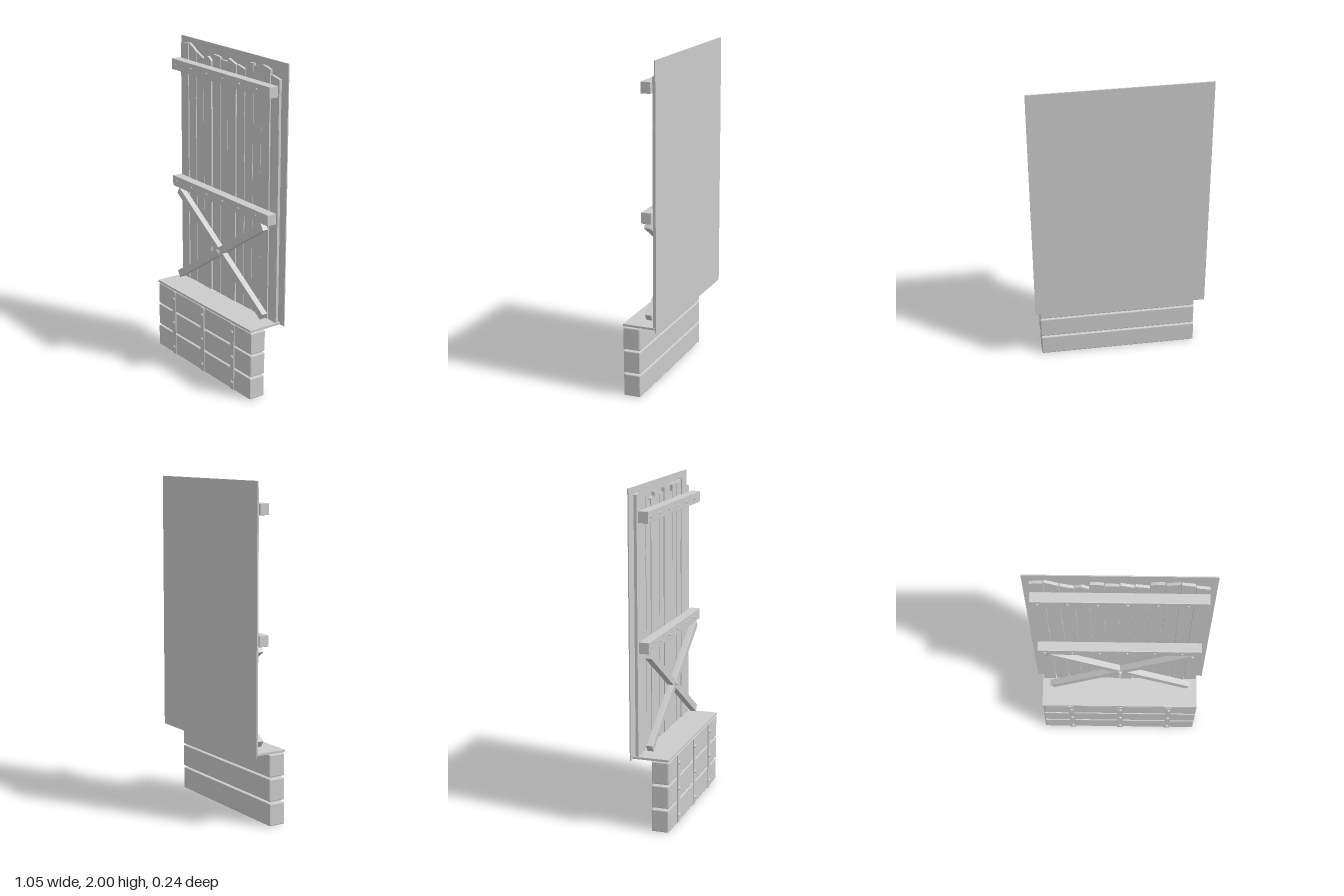
import * as THREE from 'three';
import { RoundedBoxGeometry } from 'three/addons/geometries/RoundedBoxGeometry.js';

const material = new THREE.MeshStandardMaterial({ color: 0xcccccc, flatShading: true });

export function createModel() {
  const model = new THREE.Group();
  model.name = 'woodenGate';

  const add = (name, geometry, x, y, z) => {
    const mesh = new THREE.Mesh(geometry, material);
    mesh.name = name;
    mesh.position.set(x, y, z);
    model.add(mesh);
    return mesh;
  };
  const box = (name, w, h, d, x, y, z) => add(name, new THREE.BoxGeometry(w, h, d), x, y, z);
  const beam = (name, w, h, d, x, y, z, r = 0.004) =>
    add(name, new RoundedBoxGeometry(w, h, d, 1, r), x, y, z);

  // Domed bolt head facing the front, with its base at z
  const bolt = (name, r, depth, x, y, z) => {
    const dome = new THREE.SphereGeometry(r, 8, 3, 0, Math.PI * 2, 0, Math.PI / 2);
    dome.rotateX(Math.PI / 2).scale(1, 1, depth / r);
    add(name, dome, x, y, z);
  };

  // Thin back panel and ledge
  box('backPanel', 1.055, 1.565, 0.006, -0.002, 1.2175, -0.115);
  box('ledge', 0.985, 0.013, 0.222, -0.002, 0.443, -0.005);

  // Upright planks: top height at left, middle and right, then front depth
  const planks = [
    [1.962, 1.97, 1.973, -0.080], [1.974, 1.955, 1.932, -0.083],
    [1.932, 1.915, 1.902, -0.083], [1.912, 1.926, 1.902, -0.080],
    [1.942, 1.943, 1.937, -0.087], [1.925, 1.926, 1.925, -0.086],
    [1.948, 1.935, 1.922, -0.082], [1.925, 1.917, 1.908, -0.086],
    [1.947, 1.956, 1.958, -0.086], [1.945, 1.954, 1.962, -0.084],
    [1.966, 1.96, 1.95, -0.080], [1.922, 1.914, 1.906, -0.083],
  ];
  planks.forEach(([left, middle, right, front], i) => {
    const w = 0.038, wear = 0.003, split = 1.25 + 0.12 * ((i * 5) % 4);
    const outline = new THREE.Shape([
      [-w, 0.445], [w, 0.445], [w, split], [w - wear, split + 0.04],
      [w - wear, split + 0.2], [w, split + 0.24], [w, right], [0, middle], [-w, left],
    ].map(([x, y]) => new THREE.Vector2(x, y)));
    const geometry = new THREE.ExtrudeGeometry(outline, { depth: 0.017, bevelEnabled: false });
    add('plank', geometry, (i - 5.5) * 0.0815 - 0.002, 0, front - 0.017);
  });

  // Cross rails with a row of bolts
  for (const y of [1.841, 1.098]) {
    beam('rail', 0.975, 0.066, 0.06, -0.002, y, -0.042, 0.002);
    for (let i = 0; i < 6; i++) bolt('railBolt', 0.009, 0.006, -0.448 + i * 0.163, y, -0.012);
  }

  // Crossed braces with a square bolt in the centre
  for (const side of [-1, 1]) {
    const brace = beam('brace', 1.03, 0.046, 0.038, 0, 0.766, side > 0 ? -0.030 : -0.032, 0.002);
    brace.rotation.z = side * 0.575;
  }
  box('braceBoltPlate', 0.027, 0.027, 0.006, 0, 0.766, -0.009);
  bolt('braceBolt', 0.012, 0.008, 0, 0.766, -0.006);

  // Base of three stacked timbers
  [0.0715, 0.2175, 0.3625].forEach((y, i) =>
    beam('baseTimber', 0.983, 0.135, 0.104, [-0.004, -0.001, 0.001][i], y, 0.052, 0.006));

  // Iron straps with rivets
  for (const x of [-0.312, 0, 0.312]) {
    box('strap', 0.036, 0.421, 0.006, x, 0.2165, 0.106);
    for (const y of [0.05, 0.217, 0.378]) bolt('strapRivet', 0.013, 0.01, x, y, 0.108);
  }

  // Stand exactly on the ground
  const bounds = new THREE.Box3().setFromObject(model);
  model.children.forEach((part) => { part.position.y -= bounds.min.y; });
  return model;
}
